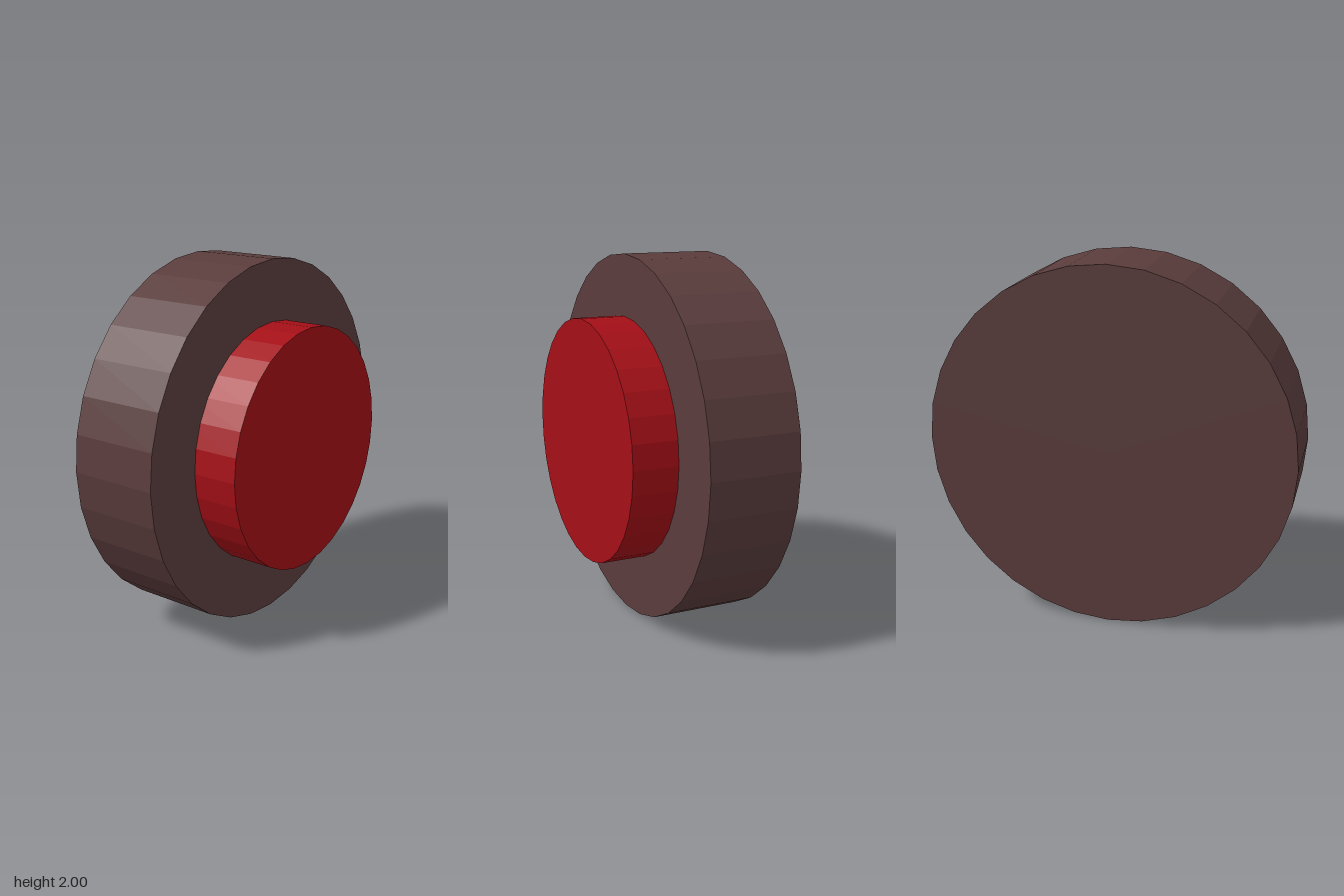
import * as THREE from 'three';

// Disc with its axis along x, spanning x0 to x1 at height y = 1
function disc(name, radius, x0, x1, color) {
  const geometry = new THREE.CylinderGeometry(radius, radius, x1 - x0, 32);
  geometry.rotateZ(-Math.PI / 2);
  const material = new THREE.MeshStandardMaterial({ color, flatShading: true });
  const mesh = new THREE.Mesh(geometry, material);
  mesh.name = name;
  mesh.position.set((x0 + x1) / 2, 1, 0);
  return mesh;
}

export function createModel() {
  const model = new THREE.Group();
  model.name = 'wheel';
  // Wide dark tyre, with a red hub standing out on the +x side
  model.add(disc('tyre', 1, -0.375, 0.125, 0x5a3c3c));
  model.add(disc('hub', 0.667, 0, 0.375, 0xa40f17));
  return model;
}
